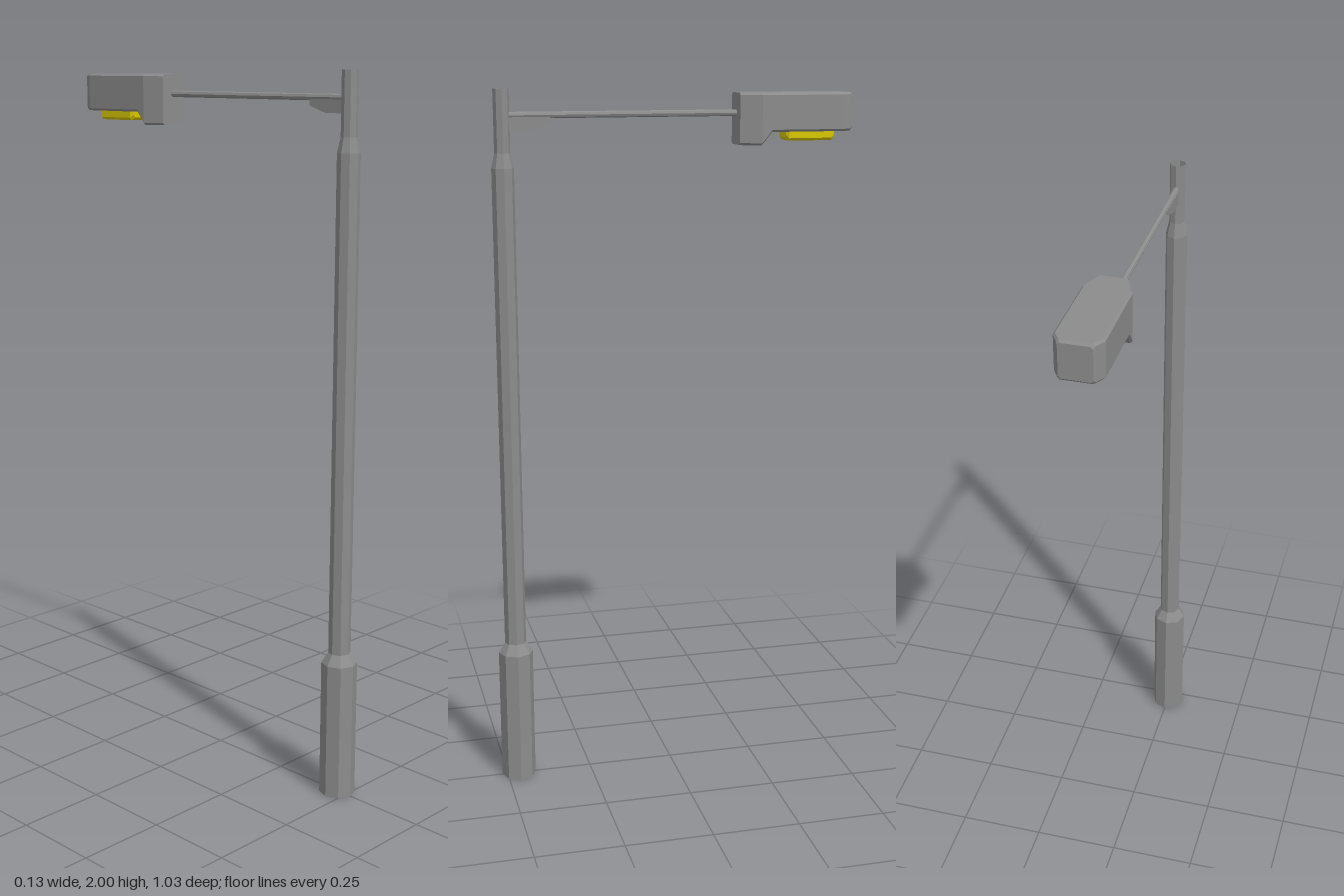
import * as THREE from 'three';

const POLE_Z = 0.466;

// Loft of chamfered rectangles along z; stations run from +z to -z as [z, halfWidth, bottom, top]
function loft(stations, c) {
  const pos = [], idx = [], n = 8;
  for (const [z, w, b, t] of stations) {
    const ring = [[w - c, b], [w, b + c], [w, t - c], [w - c, t], [c - w, t], [-w, t - c], [-w, b + c], [c - w, b]];
    for (const [x, y] of ring) pos.push(x, y, z);
  }
  const last = (stations.length - 1) * n;
  for (let i = 0; i < last; i += n) {
    for (let j = 0; j < n; j++) {
      const k = (j + 1) % n;
      idx.push(i + j, i + n + j, i + n + k, i + j, i + n + k, i + k);
    }
  }
  for (let j = 1; j < n - 1; j++) idx.push(0, j, j + 1, last, last + j + 1, last + j);
  const g = new THREE.BufferGeometry();
  g.setAttribute('position', new THREE.Float32BufferAttribute(pos, 3));
  g.setIndex(idx);
  g.computeVertexNormals();
  return g;
}

export function createModel() {
  const group = new THREE.Group();
  const metal = new THREE.MeshStandardMaterial({ name: 'grey metal', color: 0x8c8c8c, flatShading: true, side: THREE.DoubleSide });
  const glow = new THREE.MeshStandardMaterial({ name: 'yellow lamp', color: 0xd8c800, flatShading: true });
  const add = (name, geometry, material) => {
    const mesh = new THREE.Mesh(geometry, material);
    mesh.name = name;
    group.add(mesh);
    return mesh;
  };

  // Hollow eight-sided pole, open at both ends
  const profile = [[0.05, 0], [0.05, 0.39], [0.031, 0.42], [0.031, 1.79], [0.022, 1.83], [0.022, 2]]
    .map(([r, y]) => new THREE.Vector2(r, y));
  add('pole', new THREE.LatheGeometry(profile, 8), metal).position.z = POLE_Z;

  // Horizontal arm, from inside the pole to the lamp head
  const arm = add('arm', new THREE.CylinderGeometry(0.009, 0.009, 0.65, 8), metal);
  arm.rotation.x = Math.PI / 2;
  arm.position.set(0, 1.93, 0.13);

  // Bracket below the arm
  const side = new THREE.Shape([[-0.45, 1.89], [-0.39, 1.89], [-0.335, 1.908], [-0.335, 1.925], [-0.45, 1.925]]
    .map(([x, y]) => new THREE.Vector2(x, y)));
  const bracket = new THREE.ExtrudeGeometry(side, { depth: 0.016, bevelEnabled: false });
  bracket.translate(0, 0, -0.008).rotateY(Math.PI / 2);
  add('bracket', bracket, metal);

  // Lamp head with a deeper end where the arm enters
  add('lampHead', loft([
    [-0.19, 0.041, 1.843, 1.985],
    [-0.248, 0.063, 1.843, 1.985],
    [-0.278, 0.063, 1.879, 1.985],
    [-0.483, 0.063, 1.879, 1.985],
    [-0.511, 0.047, 1.879, 1.985],
    [-0.517, 0.043, 1.885, 1.979],
  ], 0.006), metal);

  // Lamp lens below the head
  add('lampLens', loft([
    [-0.326, 0.031, 1.861, 1.886],
    [-0.334, 0.038, 1.853, 1.886],
    [-0.46, 0.038, 1.853, 1.886],
    [-0.468, 0.031, 1.861, 1.886],
  ], 0.007), glow);

  return group;
}
